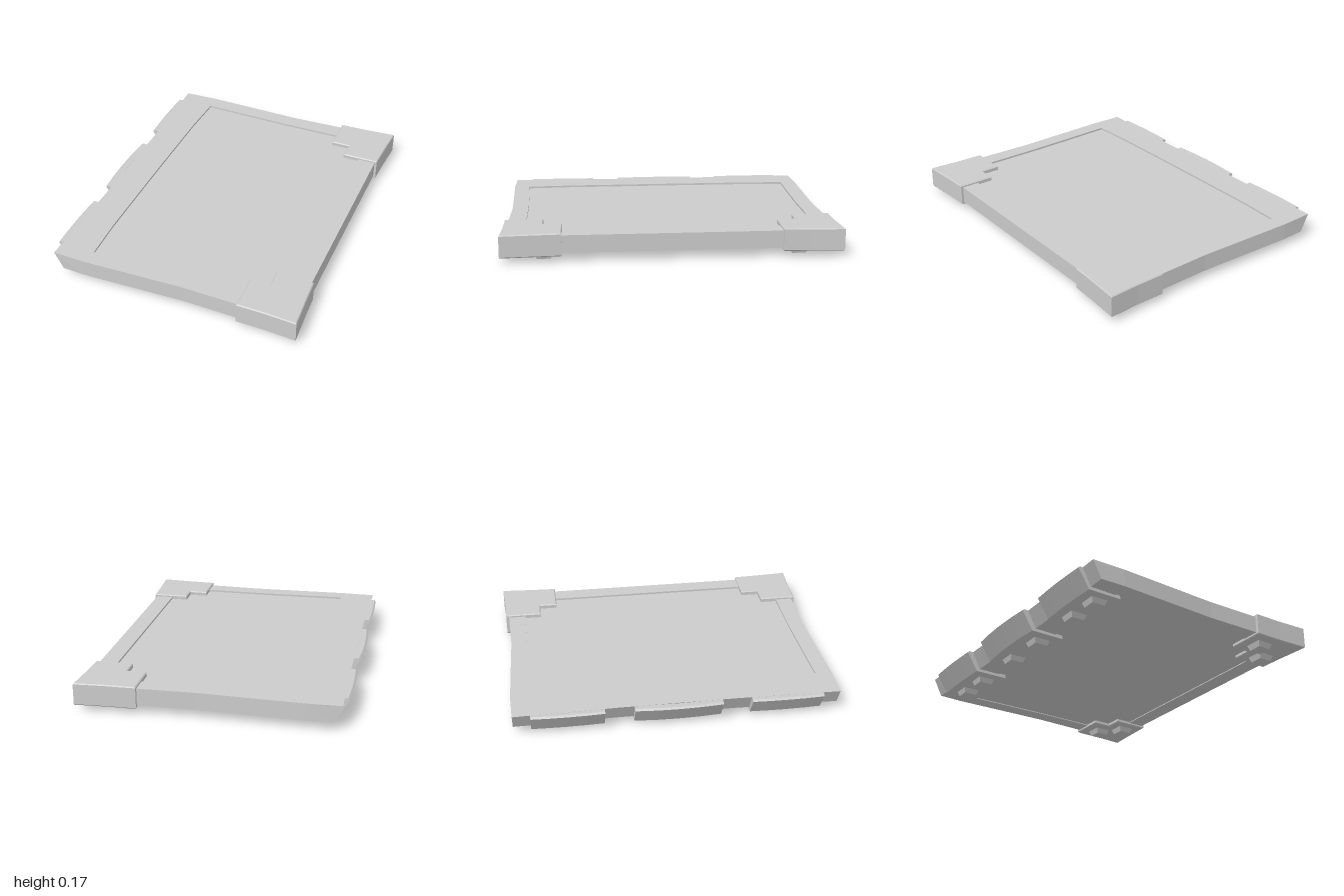
import * as THREE from 'three';

const material = new THREE.MeshStandardMaterial({ color: 0xcccccc, flatShading: true });

function add(parent, geometry, name) {
  const mesh = new THREE.Mesh(geometry, material);
  mesh.name = name;
  parent.add(mesh);
  return mesh;
}

// Plan outline given as [x, z] points, raised from y0 to y1
const toV2 = (pts) => pts.map(([x, z]) => new THREE.Vector2(x, -z));

function raise(outline, y0, y1, { hole = null, bevel = 0 } = {}) {
  const shape = new THREE.Shape(toV2(outline));
  if (hole) shape.holes.push(new THREE.Path(toV2(hole)));
  const g = new THREE.ExtrudeGeometry(shape, {
    depth: y1 - y0 - 2 * bevel,
    bevelEnabled: bevel > 0,
    bevelThickness: bevel,
    bevelSize: bevel,
    bevelOffset: -bevel,
    bevelSegments: 1,
  });
  g.rotateX(-Math.PI / 2);
  g.translate(0, y0 + bevel, 0);
  return g;
}

// Closes half an outline (z > 0) with its mirror image
const mirrored = (half) => [...half, ...half.map(([x, z]) => [x, -z]).reverse()];

function bend(geometry, rule) {
  const p = geometry.attributes.position;
  for (let i = 0; i < p.count; i++) {
    const [x, y, z] = rule(p.getX(i), p.getY(i), p.getZ(i));
    p.setXYZ(i, x, y, z);
  }
  geometry.computeVertexNormals();
  return geometry;
}

// Tapered square foot under a plate
function foot(parent, x, z) {
  const g = new THREE.CylinderGeometry(0.076, 0.058, 0.036, 4);
  g.rotateY(Math.PI / 4);
  g.translate(x, 0.018, z);
  add(parent, g, 'foot');
}

export function createModel() {
  const model = new THREE.Group();
  model.name = 'tray';

  // Slab: gently wavy rim around a sunken panel
  const rimOutline = mirrored([
    [-0.745, 0.35], [-0.757, 0.97], [-0.55, 0.976], [-0.25, 0.967], [0.08, 0.957],
    [0.42, 0.966], [0.755, 0.975], [0.755, 0.5],
  ]);
  const panelOutline = mirrored([
    [-0.552, 0.1], [-0.55, 0.6], [-0.538, 0.876], [-0.25, 0.867], [0.05, 0.859],
    [0.42, 0.859], [0.645, 0.865], [0.645, 0.5],
  ]);
  const slab = new THREE.Group();
  slab.name = 'slab';
  model.add(slab);
  const rim = raise(rimOutline, 0.05, 0.155, { hole: panelOutline });
  // The left end slopes inward toward the bottom
  bend(rim, (x, y, z) => [x < -0.7 && y < 0.1 ? x + 0.055 : x, y, z]);
  add(slab, rim, 'rim');
  add(slab, raise(panelOutline, 0.056, 0.143), 'panel');

  // Corner brackets, L-shaped, with two feet each
  const bracketOutline = [
    [0.422, 0.985], [0.422, 0.755], [0.54, 0.755], [0.54, 0.643],
    [0.77, 0.643], [0.777, 0.8], [0.79, 1], [0.6, 0.988],
  ];
  for (const s of [1, -1]) {
    const bracket = new THREE.Group();
    bracket.name = s > 0 ? 'frontBracket' : 'backBracket';
    const outline = bracketOutline.map(([x, z]) => [x, s * z]);
    add(bracket, raise(outline, 0.034, 0.17, { bevel: 0.006 }), 'bracketBody');
    foot(bracket, 0.533, s * 0.87);
    foot(bracket, 0.652, s * 0.75);
    model.add(bracket);
  }

  // Edge clips: sloped wall and a plate folded under the slab
  const clipProfile = [
    [-0.784, 0.146], [-0.774, 0.156], [-0.735, 0.154], [-0.685, 0.058],
    [-0.505, 0.058], [-0.5, 0.033], [-0.712, 0.031],
  ].map(([x, y]) => new THREE.Vector2(x, y));

  function edgeClip(name, z0, z1, bow, feet) {
    const clip = new THREE.Group();
    clip.name = name;
    const g = new THREE.ExtrudeGeometry(new THREE.Shape(clipProfile), {
      depth: z1 - z0, steps: 4, bevelEnabled: false,
    });
    const mid = (z0 + z1) / 2;
    g.translate(0, 0, z0);
    // Outer wall bows outward at mid-length
    bend(g, (x, y, z) => {
      const t = (z - mid) / (z1 - mid);
      return [x < -0.7 ? x - bow * (1 - t * t) : x, y, z];
    });
    add(clip, g, 'clipBody');
    feet.forEach((z) => foot(clip, -0.605, z));
    model.add(clip);
  }
  edgeClip('middleClip', -0.26, 0.26, 0.013, [-0.145, 0.145]);
  edgeClip('frontClip', 0.435, 0.865, 0.006, [0.55, 0.76]);
  edgeClip('backClip', -0.865, -0.435, 0.006, [-0.55, -0.76]);

  return model;
}
